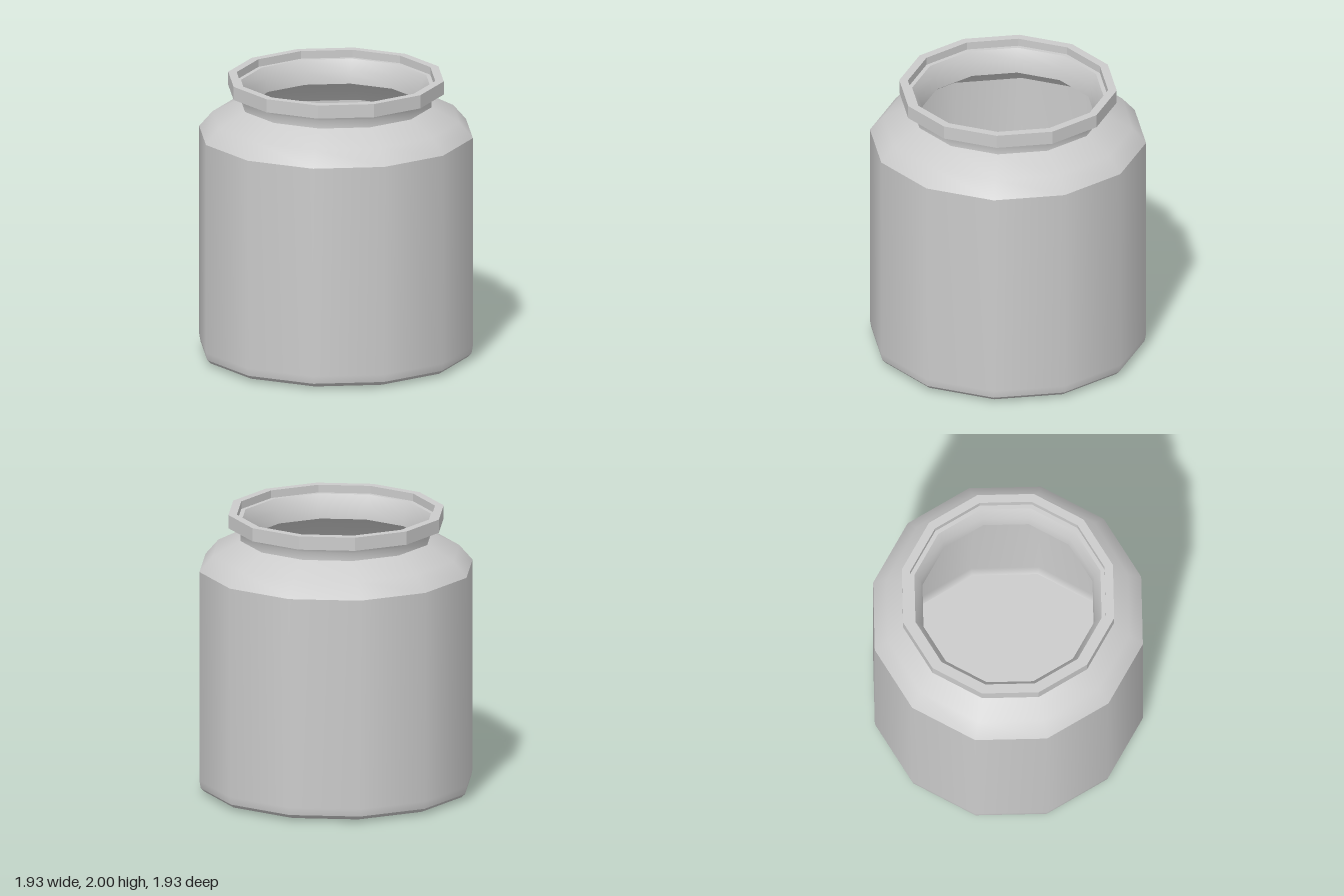
import * as THREE from 'three';

const SIDES = 12;

// Revolve one run of [radius, height] points; shading is smooth within a run, sharp between runs.
function ring(name, profile, flat = false) {
  const points = profile.map(([r, y]) => new THREE.Vector2(r, y));
  const mesh = new THREE.Mesh(
    new THREE.LatheGeometry(points, SIDES),
    new THREE.MeshStandardMaterial({ color: 0xcccccc, flatShading: flat })
  );
  mesh.name = name;
  return mesh;
}

export function createModel() {
  const jar = new THREE.Group();
  jar.name = 'jar';

  // Outside, from the base upwards
  const outside = new THREE.Group();
  outside.name = 'outerShell';
  outside.add(
    ring('base', [[0, 0], [0.88, 0.005]], true),
    ring('baseBevel', [[0.88, 0.005], [0.93, 0.02], [0.955, 0.045]]),
    ring('bodyWall', [[0.955, 0.045], [0.965, 0.1], [0.965, 1.6]]),
    ring('shoulder', [[0.965, 1.6], [0.87, 1.71], [0.675, 1.81]]),
    ring('neck', [[0.675, 1.81], [0.675, 1.865], [0.7, 1.905]])
  );

  // Lip around the mouth, with a small step inside it
  const lip = ring('lip', [
    [0.7, 1.905], [0.76, 1.905], [0.76, 2], [0.7, 2], [0.7, 1.945], [0.67, 1.945]
  ], true);

  // Inside, from the mouth down to the floor
  const inside = new THREE.Group();
  inside.name = 'innerShell';
  inside.add(
    ring('throat', [[0.67, 1.945], [0.625, 1.87], [0.612, 1.78]]),
    ring('innerShoulder', [[0.612, 1.78], [0.83, 1.67], [0.915, 1.58]]),
    ring('innerWall', [[0.915, 1.58], [0.915, 0.1], [0.88, 0.05]]),
    ring('floor', [[0.88, 0.05], [0, 0.05]], true)
  );

  jar.add(outside, lip, inside);
  return jar;
}
